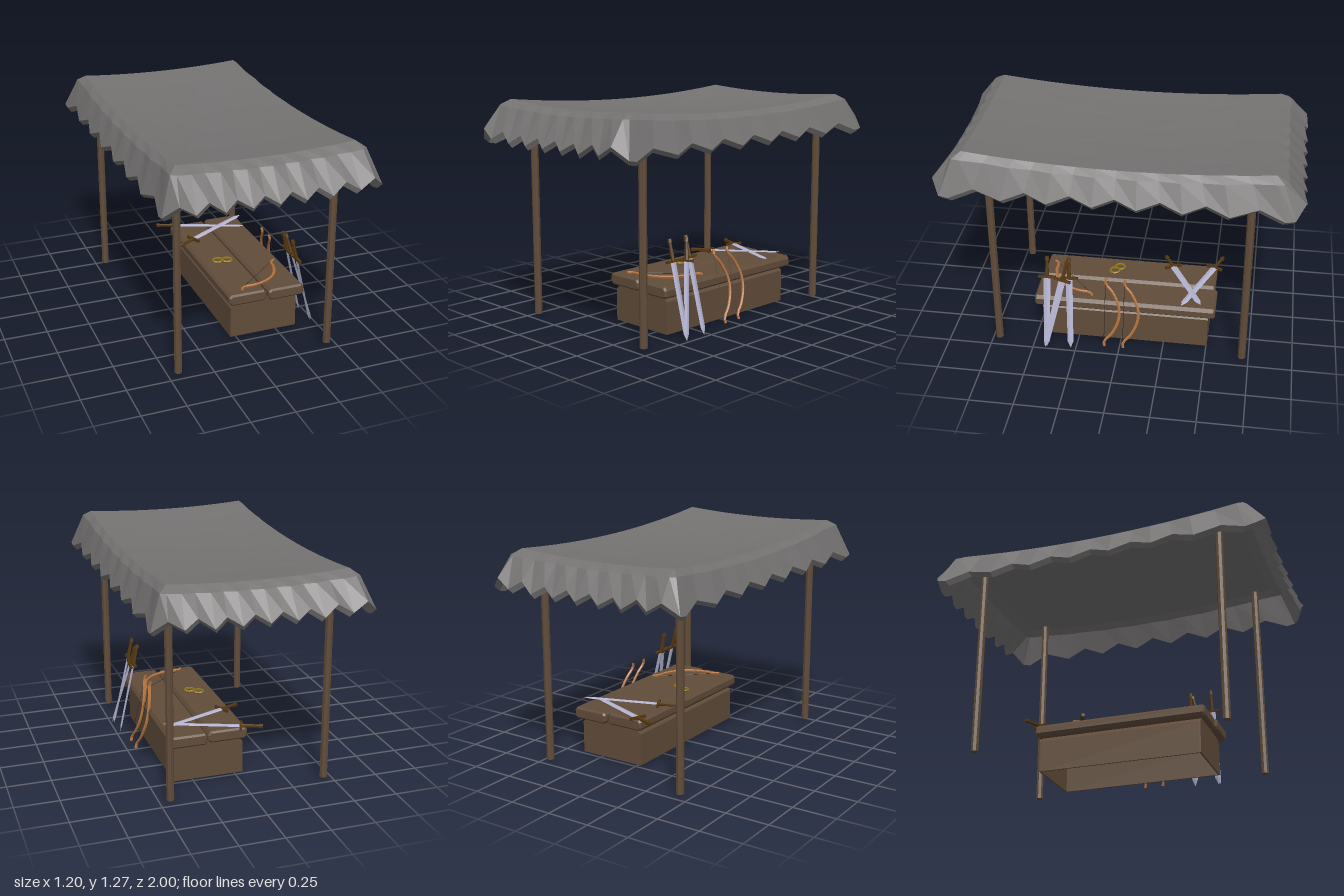
import * as THREE from 'three';

const mat = (color) => new THREE.MeshStandardMaterial({ color, flatShading: true, side: THREE.DoubleSide });
const V = (x, y, z) => new THREE.Vector3(x, y, z);

export function createModel() {
  const root = new THREE.Group();
  const cloth = mat(0x757272), wood = mat(0x614c3a), steel = mat(0xb4b4d2);
  const leather = mat(0x54370f), bowWood = mat(0xb5733f), gold = mat(0x8f7418), cord = mat(0x2a2522);

  const add = (parent, name, geometry, material, x = 0, y = 0, z = 0) => {
    const mesh = new THREE.Mesh(geometry, material);
    mesh.name = name;
    mesh.position.set(x, y, z);
    parent.add(mesh);
    return mesh;
  };

  // Stand an object (local +y from its origin) between two points, its flat side facing "normal"
  const place = (object, from, to, normal) => {
    const y = to.clone().sub(from).normalize();
    const x = y.clone().cross(normal).normalize();
    object.quaternion.setFromRotationMatrix(new THREE.Matrix4().makeBasis(x, y, x.clone().cross(y)));
    object.position.copy(from);
    root.add(object);
  };

  // Canopy: sagging cloth lofted from rings, with a scalloped, folded skirt
  const quarter = [ // hem from the front middle to the side middle: x, y, z
    [0, 1.065, 1], [0.073, 1.11, 0.97], [0.145, 1.065, 1], [0.22, 1.11, 0.97], [0.29, 1.065, 1],
    [0.37, 1.12, 0.975], [0.445, 1.075, 1], [0.525, 1.125, 0.99], [0.6, 1.06, 0.94],
    [0.6, 1.05, 0.89], [0.575, 1.1, 0.755], [0.6, 1.055, 0.605], [0.575, 1.1, 0.48],
    [0.6, 1.055, 0.36], [0.575, 1.1, 0.24], [0.6, 1.055, 0.118], [0.575, 1.1, 0],
  ].map((p) => V(...p));
  const flip = (list, sx, sz) => list.map((p) => V(p.x * sx, p.y, p.z * sz));
  const back = quarter.slice().reverse();
  const hem = [
    ...quarter.slice(0, -1), ...flip(back, 1, -1).slice(0, -1),
    ...flip(quarter, -1, -1).slice(0, -1), ...flip(back, -1, 1).slice(0, -1),
  ];
  const sag = (x, z) => 1.205 + 0.045 * (z / 0.83) ** 2 + 0.02 * (x / 0.49) ** 2 + 0.01 * z;
  const clampAbs = (v, scale, max) => Math.sign(v) * Math.min(Math.abs(v) * scale, max);
  const rim = hem.map((p) => V(clampAbs(p.x, 0.94, 0.49), 0, clampAbs(p.z, 0.9, 0.83)));
  const topRing = (s, drop) => rim.map((p) => V(p.x * s, sag(p.x * s, p.z * s) - drop, p.z * s));
  const shoulder = (t, drop) => rim.map((p, i) => {
    const q = p.clone().lerp(hem[i], t);
    q.y = sag(p.x, p.z) - drop;
    return q;
  });
  const innerHem = hem.map((p) => V(p.x * 0.965, p.y - 0.025, p.z * 0.982));
  const rings = [
    topRing(0, 0), topRing(0.35, 0), topRing(0.7, 0), topRing(1, 0), shoulder(0.38, 0.03), hem,
    innerHem, shoulder(0.25, 0.06), topRing(0.97, 0.03), topRing(0.6, 0.03), topRing(0, 0.03),
  ];
  const n = hem.length, index = [];
  for (let r = 0; r < rings.length - 1; r++) {
    for (let i = 0; i < n; i++) {
      const a = r * n + i, b = r * n + (i + 1) % n;
      index.push(a, a + n, b + n, a, b + n, b);
    }
  }
  const canopy = new THREE.BufferGeometry().setFromPoints(rings.flat());
  canopy.setIndex(index);
  canopy.computeVertexNormals();
  add(root, 'canopy', canopy, cloth);

  // Four posts
  for (const x of [-0.445, 0.445]) for (const z of [-0.712, 0.708])
    add(root, 'post', new THREE.CylinderGeometry(0.022, 0.022, 1.19, 8), wood, x, 0.625, z);

  // Counter body: hollow and open underneath, with chamfered upper edges
  const extrude = (points, depth, bevel = 0) => new THREE.ExtrudeGeometry(
    new THREE.Shape(points.map(([x, y]) => new THREE.Vector2(x, y))),
    { depth, bevelEnabled: bevel > 0, bevelSize: bevel, bevelThickness: bevel, bevelOffset: -bevel, bevelSegments: 1 });
  const outer = [[-0.04, 0.025], [-0.04, 0.21], [-0.005, 0.24], [0.335, 0.24], [0.365, 0.21], [0.365, 0.025]];
  const inner = [[0.355, 0.025], [0.355, 0.205], [0.33, 0.23], [0, 0.23], [-0.03, 0.205], [-0.03, 0.025]];
  const counter = new THREE.Group();
  counter.name = 'counter';
  root.add(counter);
  add(counter, 'counterShell', extrude([...outer, ...inner], 0.945), wood, 0, 0, -0.495);
  for (const z of [-0.505, 0.45]) add(counter, 'counterEnd', extrude(outer, 0.01), wood, 0, 0, z);

  // Two counter top planks
  for (const [x0, x1, z0, z1] of [[-0.06, 0.17, -0.53, 0.49], [0.177, 0.397, -0.545, 0.5]]) {
    const plank = [[x0, 0.255], [x0 + 0.015, 0.237], [x1 - 0.015, 0.237], [x1, 0.25],
      [x1, 0.285], [x1 - 0.015, 0.304], [x0 + 0.015, 0.304], [x0, 0.29]];
    add(counter, 'plank', extrude(plank, z1 - z0 - 0.02, 0.01), wood, 0, 0, z0 + 0.01);
  }

  // Sword: point at the origin, pommel at y = 0.56
  const makeSword = () => {
    const sword = new THREE.Group();
    sword.name = 'sword';
    add(sword, 'blade', new THREE.CylinderGeometry(0.02, 0.017, 0.39, 4), steel, 0, 0.235, 0).scale.z = 0.3;
    add(sword, 'bladePoint', new THREE.ConeGeometry(0.017, 0.04, 4).rotateX(Math.PI), steel, 0, 0.02, 0).scale.z = 0.3;
    add(sword, 'guard', new THREE.BoxGeometry(0.1, 0.014, 0.016), leather, 0, 0.437, 0);
    add(sword, 'grip', new THREE.CylinderGeometry(0.009, 0.012, 0.1, 6), leather, 0, 0.49, 0);
    add(sword, 'pommel', new THREE.CylinderGeometry(0.011, 0.014, 0.02, 6), leather, 0, 0.55, 0);
    return sword;
  };
  // Three leaning on the counter, two crossed on top
  const out = V(1, 0.23, 0), up = V(0, 1, 0);
  place(makeSword(), V(0.48, 0.01, 0.42), V(0.35, 0.55, 0.425), out);
  place(makeSword(), V(0.488, 0.01, 0.43), V(0.36, 0.55, 0.305), out);
  place(makeSword(), V(0.475, 0.01, 0.28), V(0.35, 0.55, 0.3), out);
  place(makeSword(), V(0.395, 0.338, -0.46), V(-0.08, 0.312, -0.225), up);
  place(makeSword(), V(0.38, 0.31, -0.35), V(-0.115, 0.31, -0.545), up);

  // Bow: lower tip at the origin, upper tip at y = 0.42, belly towards +x
  const bowCurve = new THREE.CatmullRomCurve3([
    V(0.006, 0, 0), V(0.004, 0.03, 0), V(0.045, 0.08, 0), V(0.08, 0.155, 0), V(0.088, 0.21, 0),
    V(0.08, 0.265, 0), V(0.045, 0.34, 0), V(0.004, 0.39, 0), V(0.006, 0.42, 0)]);
  const makeBow = () => {
    const bow = new THREE.Group();
    bow.name = 'bow';
    add(bow, 'bowLimb', new THREE.TubeGeometry(bowCurve, 20, 0.0085, 5), bowWood);
    add(bow, 'bowString', new THREE.CylinderGeometry(0.0015, 0.0015, 0.37, 4), cord, 0.002, 0.21, 0);
    return bow;
  };
  for (const z of [0.09, -0.02]) place(makeBow(), V(0.455, 0.03, z), V(0.355, 0.445, z), out);
  place(makeBow(), V(0.03, 0.312, 0.44), V(0.34, 0.312, 0.17), up);

  // Small gold rings on the counter
  [[0.04, 0.05], [0.09, 0.075]].forEach(([x, z], i) =>
    add(root, 'goldRing', new THREE.TorusGeometry(0.028, 0.007, 5, 10).rotateX(Math.PI / 2), gold, x, 0.31 + i * 0.006, z));

  return root;
}
